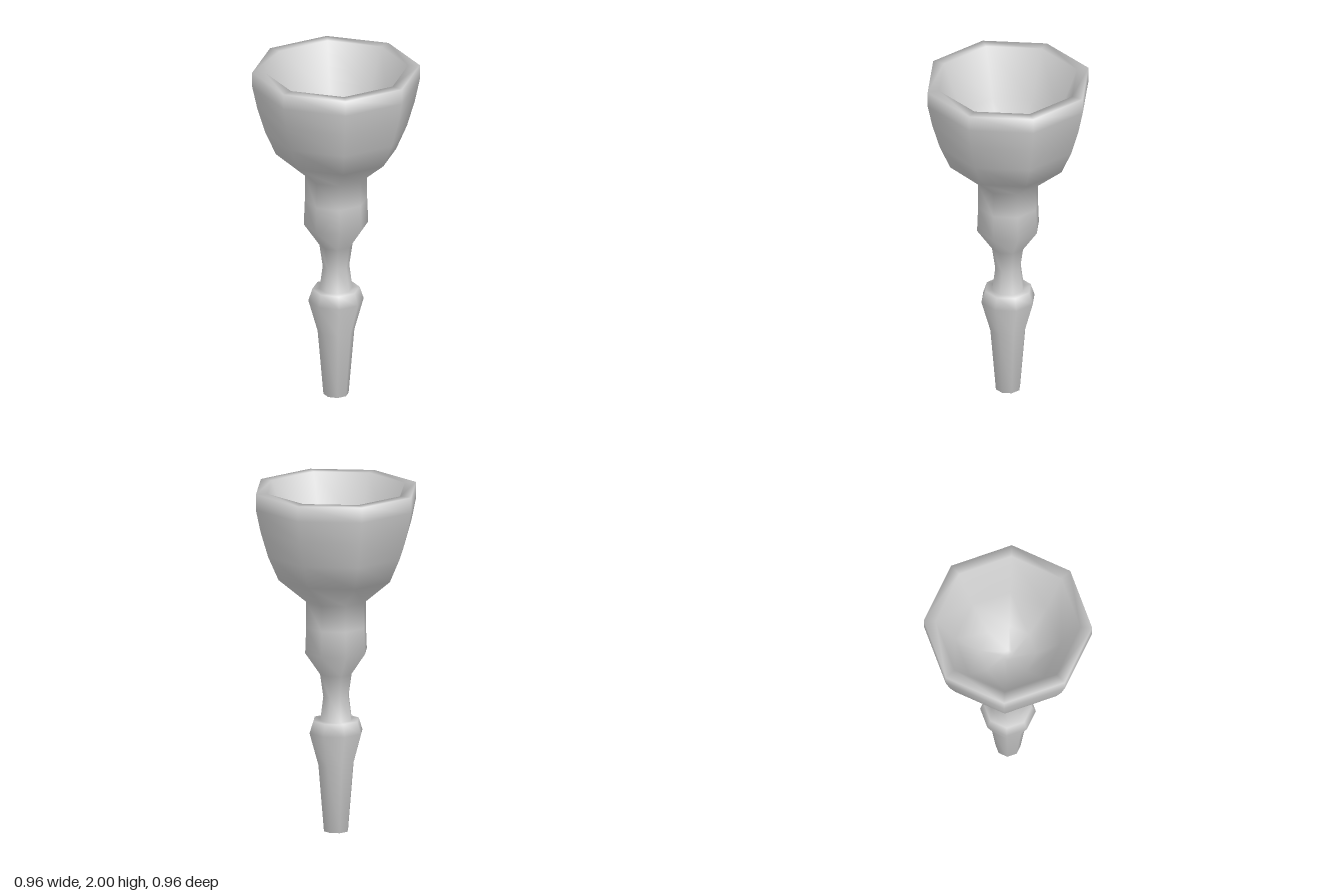
import * as THREE from 'three';

const SIDES = 8;

// Eight-sided smooth-shaded turning from [radius, height] pairs
function turned(name, profile) {
  const points = profile.map(([r, y]) => new THREE.Vector2(r, y));
  const material = new THREE.MeshStandardMaterial({ color: 0xcccccc });
  const mesh = new THREE.Mesh(new THREE.LatheGeometry(points, SIDES), material);
  mesh.name = name;
  return mesh;
}

export function createModel() {
  const group = new THREE.Group();
  group.name = 'goblet';

  // Tapered foot with a flared shoulder
  const foot = [[0, 0], [0.072, 0], [0.105, 0.39], [0.158, 0.58], [0.135, 0.65]];

  // Waisted stem and swelling collar
  const stem = [
    [0.094, 0.65], [0.076, 0.79], [0.095, 0.92],
    [0.184, 1.05], [0.178, 1.2], [0.178, 1.35],
  ];

  // Outer wall of the bowl up to the flat rim
  const bowl = [[0.343, 1.49], [0.405, 1.63], [0.45, 1.78], [0.478, 1.91], [0.478, 2]];

  // Sloping hollow inside the rim
  const hollow = [[0.41, 2], [0.3, 1.72], [0.16, 1.54], [0.03, 1.48], [0, 1.48]];

  group.add(turned('gobletBody', [...foot, ...stem, ...bowl, ...hollow]));
  return group;
}
